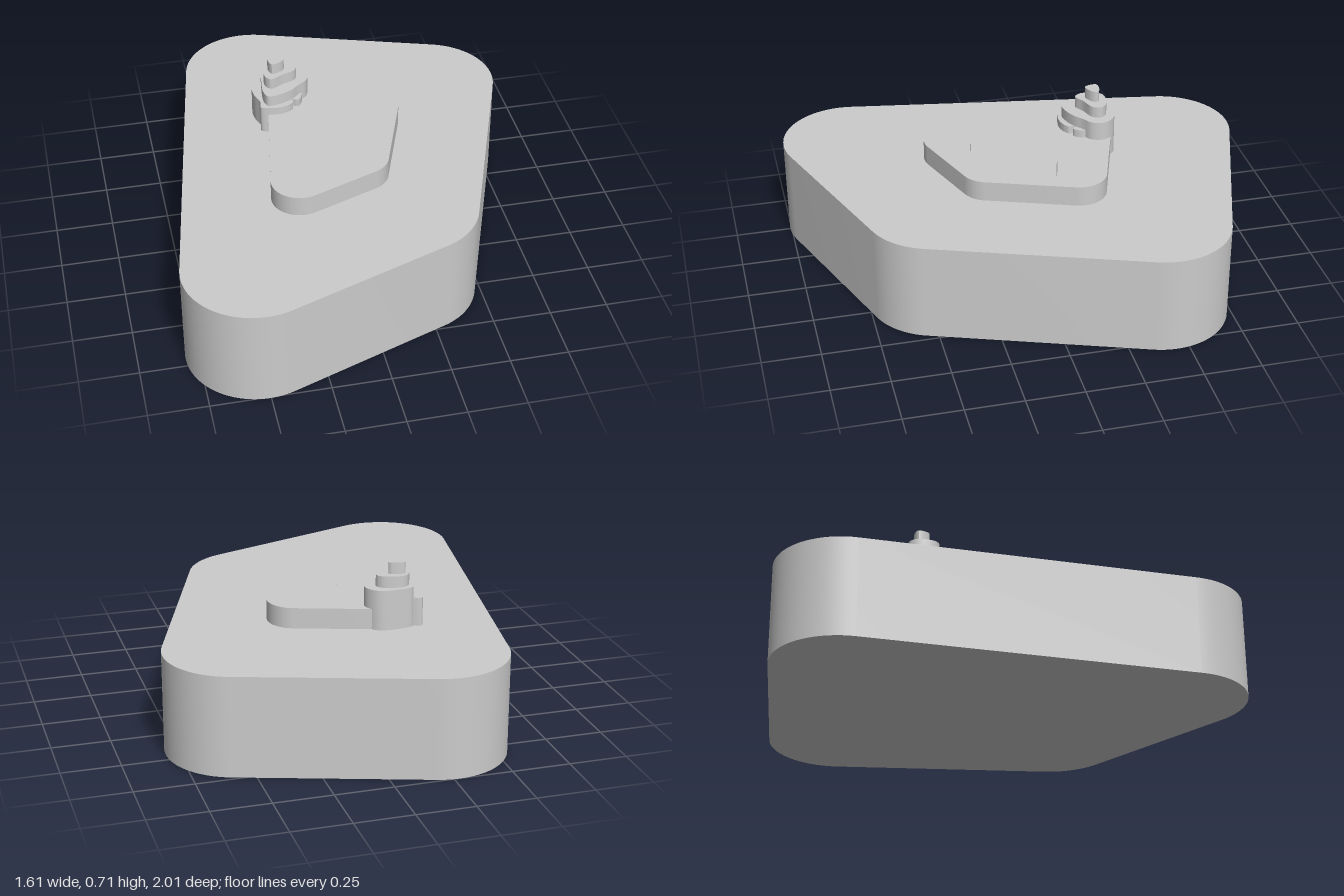
import * as THREE from 'three';
import { toCreasedNormals } from 'three/addons/utils/BufferGeometryUtils.js';

// Plans are given as [x, z]; shapes use y = -z so they lie flat after rotation.
const toVectors = (plan) => plan.map(([x, z]) => new THREE.Vector2(x, -z));

// Polygon with tangent-arc corners, listed clockwise when seen from above.
function roundedPolygon(plan, radius) {
  const pts = toVectors(plan);
  const shape = new THREE.Shape();
  pts.forEach((p, i) => {
    const u = pts[(i + pts.length - 1) % pts.length].clone().sub(p).normalize();
    const v = pts[(i + 1) % pts.length].clone().sub(p).normalize();
    const half = Math.acos(u.dot(v)) / 2;
    const c = u.clone().add(v).normalize().multiplyScalar(radius / Math.sin(half)).add(p);
    const t = radius / Math.tan(half);
    const a = u.multiplyScalar(t).add(p).sub(c).angle();
    const b = v.multiplyScalar(t).add(p).sub(c).angle();
    shape.absarc(c.x, c.y, radius, a, b, true);
  });
  return shape;
}

// Smooth closed outline through a few points.
function blob(plan) {
  const curve = new THREE.CatmullRomCurve3(
    toVectors(plan).map((p) => new THREE.Vector3(p.x, p.y, 0)), true, 'centripetal');
  const pts = curve.getPoints(plan.length * 5).slice(0, -1);
  return new THREE.Shape(pts.map((p) => new THREE.Vector2(p.x, p.y)));
}

export function createModel() {
  const group = new THREE.Group();
  const material = new THREE.MeshStandardMaterial({ color: 0xcccccc });

  function slab(name, shape, bottom, top) {
    const geometry = new THREE.ExtrudeGeometry(shape, {
      depth: top - bottom, bevelEnabled: false, curveSegments: 20,
    });
    geometry.rotateX(-Math.PI / 2).translate(0, bottom, 0);
    const mesh = new THREE.Mesh(toCreasedNormals(geometry, 0.6), material);
    mesh.name = name;
    group.add(mesh);
  }

  const baseTop = 0.435;

  // Thick rounded base
  slab('base', roundedPolygon(
    [[-0.513, -1.095], [0.892, -0.638], [0.425, 0.684], [-0.884, 1.165]], 0.3), 0, baseTop);

  // Thin plate with two irregular openings
  const plate = roundedPolygon(
    [[-0.24, -0.446], [0.333, -0.257], [0.142, 0.28], [-0.391, 0.48]], 0.122);
  plate.holes.push(
    blob([[-0.04, -0.07], [-0.015, -0.13], [0.06, -0.115], [0.17, -0.13], [0.2, -0.085],
      [0.18, -0.01], [0.13, 0.055], [0.07, 0.03], [0.01, -0.02]]),
    blob([[-0.255, 0.15], [-0.235, 0.105], [-0.19, 0.09], [-0.135, 0.13],
      [-0.1, 0.22], [-0.12, 0.255], [-0.19, 0.215], [-0.24, 0.2]]));
  slab('plate', plate, baseTop, 0.525);

  // Stepped tower at the back corner, each tier standing on the base
  const tiers = [
    [0.56, [[-0.325, -0.37], [-0.308, -0.415], [-0.27, -0.405], [-0.2, -0.36], [-0.14, -0.33],
      [-0.115, -0.28], [-0.14, -0.24], [-0.165, -0.25], [-0.165, -0.225], [-0.21, -0.2],
      [-0.27, -0.2], [-0.31, -0.215], [-0.305, -0.255], [-0.322, -0.31]]],
    [0.61, [[-0.27, -0.41], [-0.22, -0.425], [-0.12, -0.42], [-0.077, -0.365], [-0.09, -0.31],
      [-0.13, -0.28], [-0.165, -0.25], [-0.22, -0.225], [-0.275, -0.22], [-0.29, -0.255],
      [-0.285, -0.34]]],
    [0.66, [[-0.27, -0.36], [-0.24, -0.4], [-0.15, -0.39], [-0.125, -0.36], [-0.14, -0.325],
      [-0.2, -0.3], [-0.25, -0.275], [-0.273, -0.3]]],
    [0.71, [[-0.25, -0.37], [-0.215, -0.375], [-0.18, -0.36], [-0.19, -0.335], [-0.24, -0.317]]],
  ];
  tiers.forEach(([top, plan], i) => slab(`towerTier${i + 1}`, blob(plan), baseTop, top));

  return group;
}
